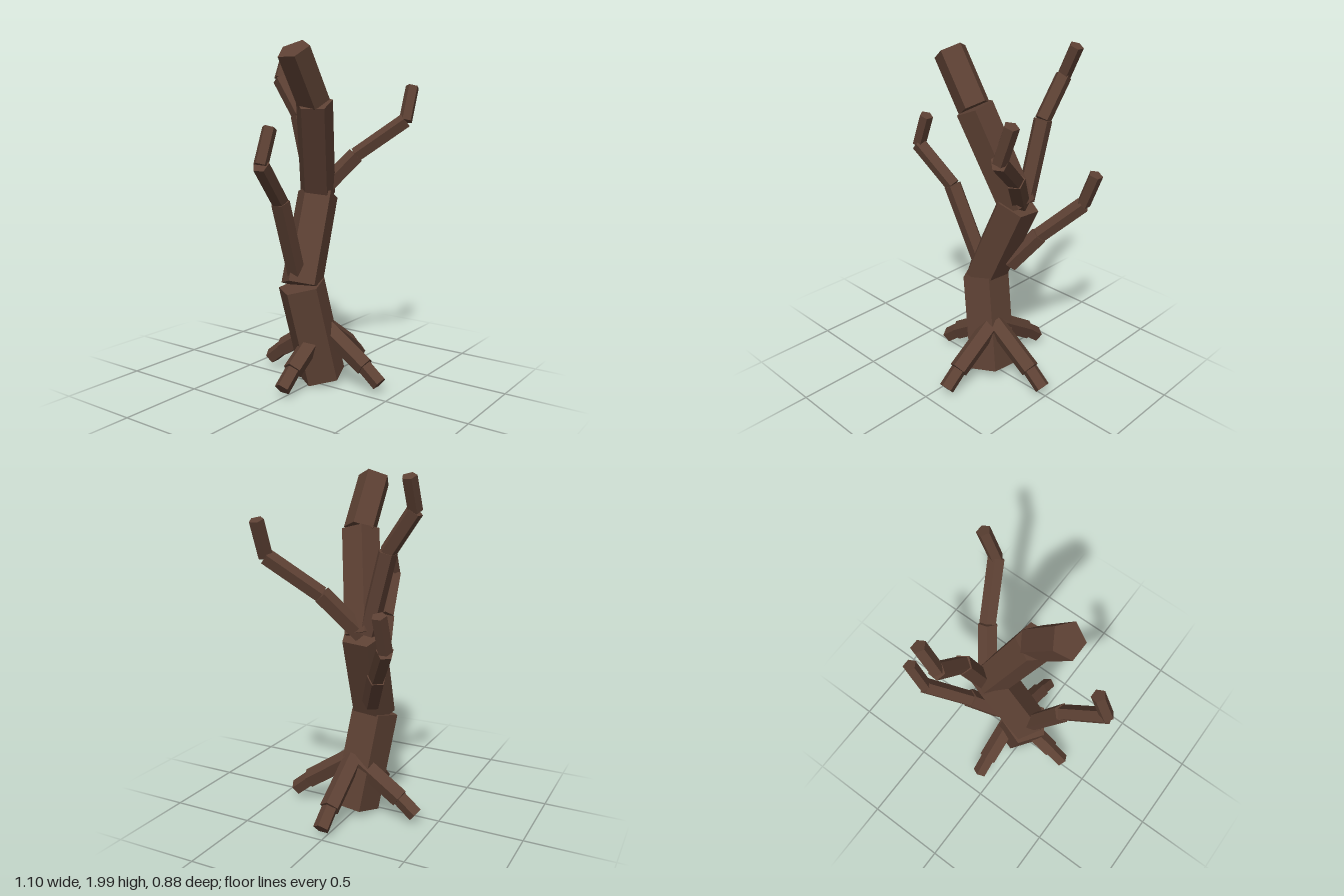
import * as THREE from 'three';

const bark = new THREE.MeshStandardMaterial({ color: 0x5c4033, flatShading: true });
bark.name = 'bark brown';

const UP = new THREE.Vector3(0, 1, 0);
const WEST = new THREE.Vector3(-1, 0, 0);

// Five-sided log between two points, with one ridge turned towards ref
function log(name, from, to, radius, ref = UP) {
  const a = new THREE.Vector3(...from), b = new THREE.Vector3(...to);
  const axis = b.clone().sub(a);
  const length = axis.length();
  axis.normalize();
  const ridge = ref.clone().addScaledVector(axis, -ref.dot(axis)).normalize();
  const side = axis.clone().cross(ridge);
  const mesh = new THREE.Mesh(new THREE.CylinderGeometry(radius, radius, length, 5), bark);
  mesh.quaternion.setFromRotationMatrix(new THREE.Matrix4().makeBasis(side, axis, ridge));
  mesh.position.copy(a).add(b).multiplyScalar(0.5);
  mesh.name = name;
  return mesh;
}

// Chain of logs through points, one radius for each log
function limb(name, points, radii, ref) {
  const group = new THREE.Group();
  group.name = name;
  radii.forEach((r, i) => group.add(log(`${name}Section${i + 1}`, points[i], points[i + 1], r, ref)));
  return group;
}

export function createModel() {
  const tree = new THREE.Group();
  tree.name = 'bareTree';

  // Trunk: two thick lower sections, then two that lean back over
  tree.add(limb('lowerTrunk',
    [[0.07, 0.03, 0.015], [-0.05, 0.6, -0.05], [0.17, 1.12, -0.09]], [0.145, 0.127], WEST));
  tree.add(limb('upperTrunk',
    [[0.165, 1.11, -0.09], [-0.045, 1.66, 0.035], [-0.23, 1.94, 0.035]], [0.11, 0.096]));

  // Branches
  const radii = [0.055, 0.048, 0.041];
  tree.add(limb('rightBranch',
    [[-0.08, 0.65, -0.06], [-0.285, 1.12, -0.02], [-0.515, 1.34, 0.038], [-0.44, 1.53, 0.038]], radii));
  tree.add(limb('lowLeftBranch',
    [[0.1, 0.7, -0.11], [0.24, 0.9, -0.21], [0.435, 1.11, -0.35], [0.51, 1.31, -0.35]], radii));
  tree.add(limb('frontLeftBranch',
    [[0.19, 1.12, -0.09], [0.31, 1.345, 0.09], [0.44, 1.55, 0.35], [0.515, 1.75, 0.35]], radii));
  tree.add(limb('tallBackBranch',
    [[0.19, 1.13, -0.13], [0.2, 1.58, -0.25], [0.21, 1.8, -0.405], [0.29, 1.975, -0.405]], radii));

  // Four roots spread around the foot
  for (let i = 0; i < 4; i++) {
    const dx = Math.round(Math.cos(i * Math.PI / 2)), dz = Math.round(Math.sin(i * Math.PI / 2));
    const at = (d, y) => [0.085 + dx * d, y, 0.01 + dz * d];
    tree.add(limb(`root${i + 1}`, [at(0.01, 0.335), at(0.3, 0.14), at(0.4, 0.058)], [0.06, 0.048]));
  }
  return tree;
}
